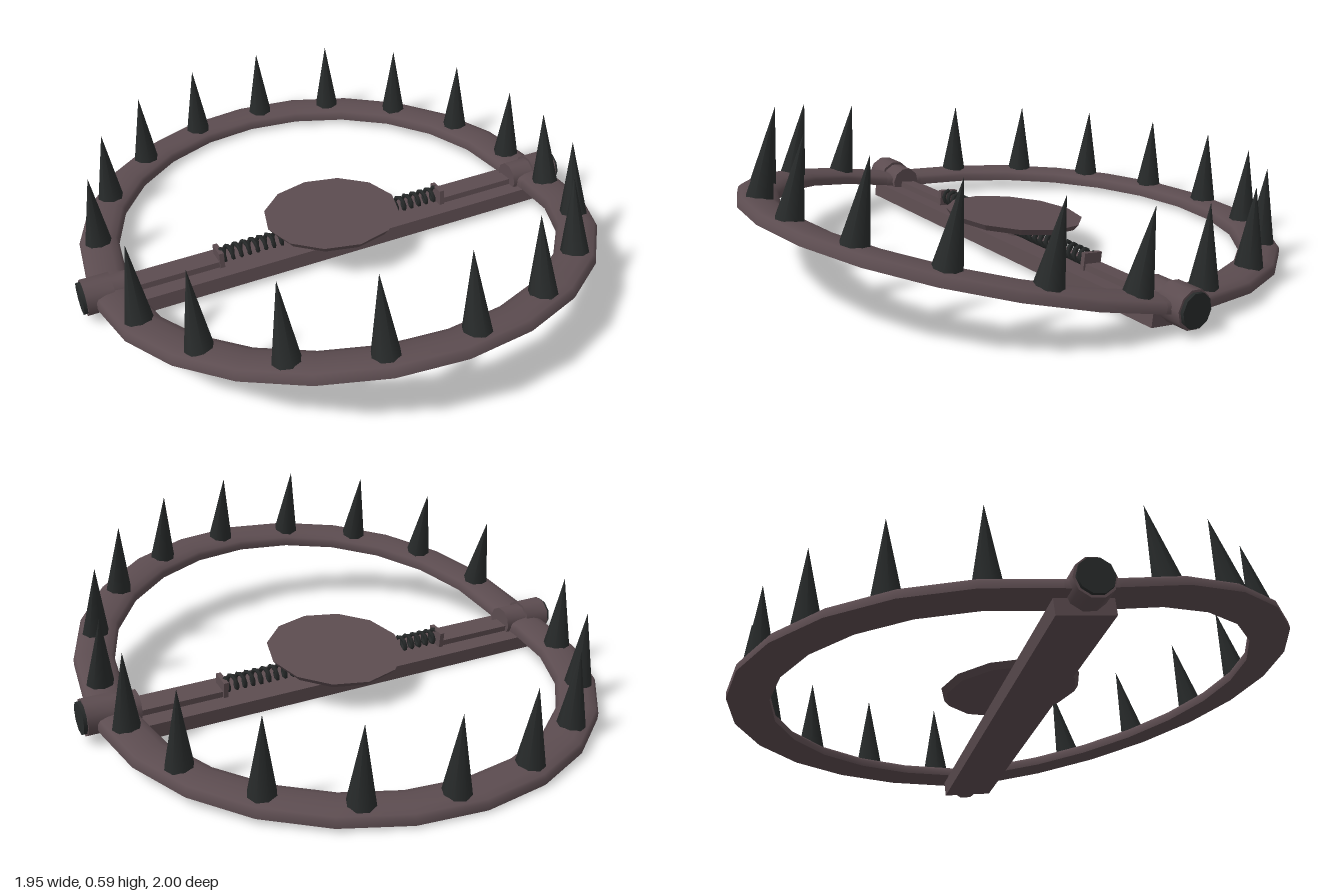
import * as THREE from 'three';
import { toCreasedNormals } from 'three/addons/utils/BufferGeometryUtils.js';

const iron = new THREE.MeshStandardMaterial({ color: 0x5c4c50 });
iron.name = 'brown iron';
const dark = new THREE.MeshStandardMaterial({ color: 0x272a2a });
dark.name = 'dark steel';

const PIVOT = [0, 0.09, 0.01];
const INNER = 0.785, OUTER = 0.93, MID = (INNER + OUTER) / 2, LEG = 0.083, FLOOR = -0.024;

function add(parent, name, geometry, material, x = 0, y = 0, z = 0) {
  const mesh = new THREE.Mesh(geometry, material);
  mesh.name = name;
  mesh.position.set(x, y, z);
  parent.add(mesh);
  return mesh;
}

// Jaw cross-section (radius, height): flat underneath, rounded on top
function jawProfile() {
  const points = [[INNER, 0], [OUTER, 0], [OUTER, 0.024]];
  for (let i = 1; i < 6; i++) {
    const a = (i / 6) * Math.PI;
    points.push([MID + (OUTER - MID) * Math.cos(a), 0.024 + 0.022 * Math.sin(a)]);
  }
  points.push([INNER, 0.024], [INNER, 0]);
  return points.map(([r, y]) => new THREE.Vector2(r, y + FLOOR));
}

// Half-ring jaw with straight legs and nine spikes; side flips the spike order
function makeJaw(name, side) {
  const jaw = new THREE.Group();
  jaw.name = name;
  jaw.position.set(...PIVOT);
  jaw.rotation.order = 'YXZ';

  const profile = jawProfile();
  const arc = new THREE.LatheGeometry(profile, 12, -Math.PI / 2, Math.PI);
  add(jaw, 'jawArc', toCreasedNormals(arc.toNonIndexed(), 0.8), iron, 0, 0, LEG);
  for (const s of [-1, 1]) {
    const shape = new THREE.Shape(profile.slice(0, -1).map(p => new THREE.Vector2(s * p.x, p.y)));
    const leg = new THREE.ExtrudeGeometry(shape, { depth: LEG - 0.03, bevelEnabled: false });
    add(jaw, 'jawLeg', toCreasedNormals(leg, 0.8), iron, 0, 0, 0.03);
  }

  const spike = new THREE.ConeGeometry(0.05, 0.28, 8);
  for (let i = 0; i < 9; i++) {
    const a = THREE.MathUtils.degToRad(13.5 + 20.3 * i);
    add(jaw, 'spike', spike, dark, -side * MID * Math.cos(a), 0.155, LEG + MID * Math.sin(a));
  }
  return jaw;
}

// Coil spring running along x
function springGeometry(length, radius, coils) {
  const points = [];
  const steps = coils * 8;
  for (let i = 0; i <= steps; i++) {
    const a = (i / 8) * Math.PI * 2;
    points.push(new THREE.Vector3((i / steps - 0.5) * length, radius * Math.cos(a), radius * Math.sin(a)));
  }
  return new THREE.TubeGeometry(new THREE.CatmullRomCurve3(points), steps, 0.008, 5);
}

export function createModel() {
  const model = new THREE.Group();
  model.name = 'spikedTrap';

  // Jaws
  const front = makeJaw('frontJaw', 1);
  front.rotation.x = -0.228;
  const back = makeJaw('backJaw', -1);
  back.rotation.y = Math.PI;
  back.rotation.x = 0.058;
  model.add(front, back);

  // Base assembly, leaning slightly
  const base = new THREE.Group();
  base.name = 'baseAssembly';
  base.position.set(...PIVOT);
  base.rotation.x = -0.122;
  model.add(base);
  add(base, 'baseBar', new THREE.BoxGeometry(1.75, 0.056, 0.19), iron, 0, -0.05, -0.01);

  // Trigger plate and its post
  add(base, 'triggerPlate', new THREE.CylinderGeometry(0.257, 0.24, 0.022, 12).toNonIndexed(), iron, 0, 0.05, -0.01)
    .geometry.computeVertexNormals();
  add(base, 'triggerPost', new THREE.CylinderGeometry(0.025, 0.025, 0.08, 8), iron, 0, 0.005, -0.01);

  // Spring between the stops
  add(base, 'spring', springGeometry(0.9, 0.026, 28), dark, 0, 0.012, -0.01);

  // Hinges at both ends
  for (const s of [-1, 1]) {
    add(base, 'springStop', new THREE.BoxGeometry(0.018, 0.066, 0.075), iron, s * 0.456, 0.005, -0.01);
    add(base, 'railStrip', new THREE.BoxGeometry(0.32, 0.025, 0.06), iron, s * 0.62, -0.012, -0.01);
    const sleeve = (name, material, r, x0, x1) => {
      const g = new THREE.CylinderGeometry(r, r, x1 - x0, 10).rotateZ(Math.PI / 2);
      add(base, name, toCreasedNormals(g.toNonIndexed(), 0.8), material, (s * (x0 + x1)) / 2, 0, 0);
    };
    sleeve('innerSleeve', iron, 0.058, 0.77, 0.87);
    sleeve('outerSleeve', iron, 0.068, 0.86, 0.962);
    sleeve('hingePin', dark, 0.06, 0.95, 0.975);
  }
  return model;
}
